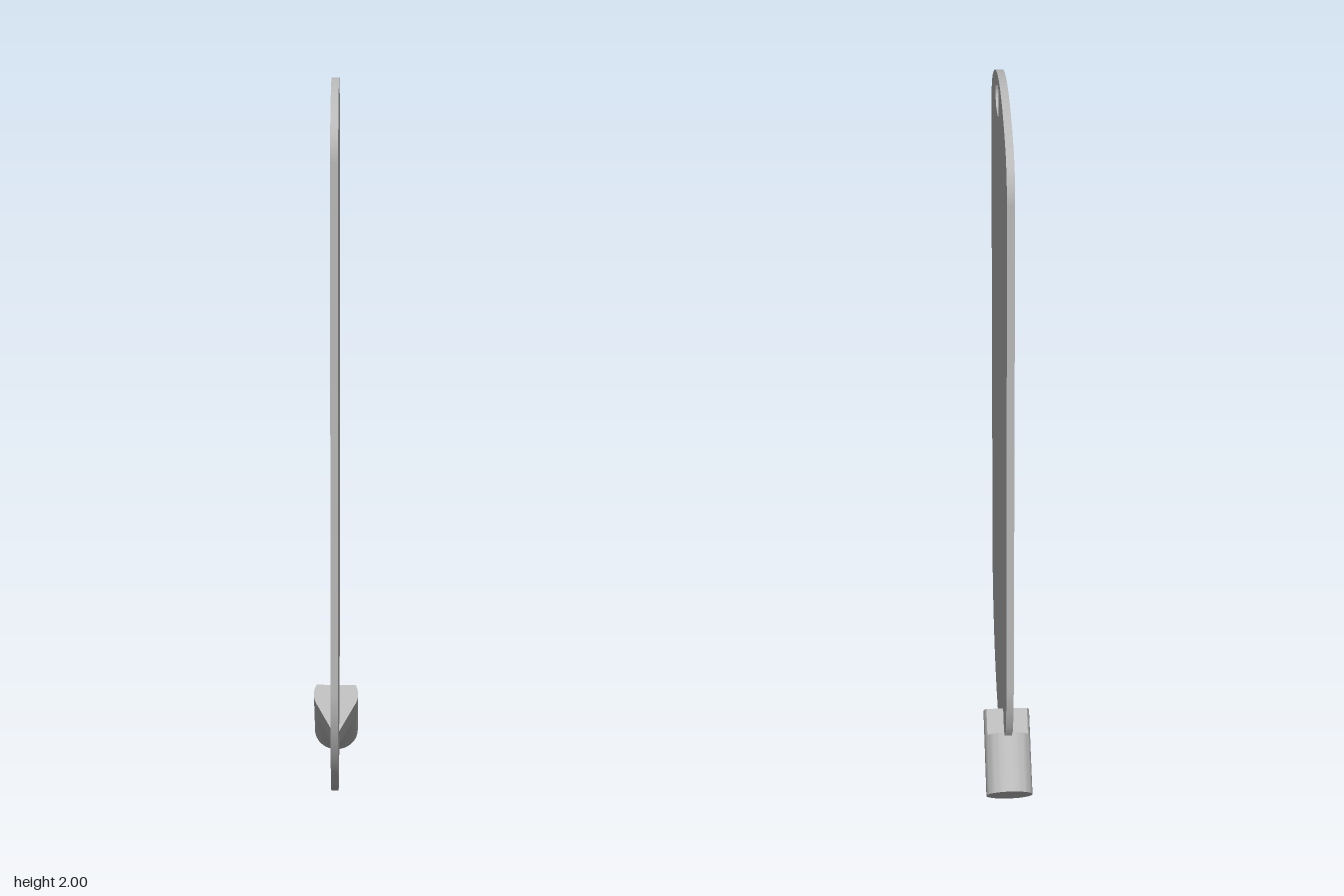
import * as THREE from 'three';
import { toCreasedNormals } from 'three/addons/utils/BufferGeometryUtils.js';

const R = 0.393;          // half width of the panel and radius of its round foot
const CU = -0.012;        // panel centre, along -z
const CY = 0.42;          // height of the foot's centre
const PORT_R = 0.065;     // spout radius

// Panel outline, drawn with -z to the right and y up
function panelShape() {
  const corner = 0.136, cornerY = 1.8, topR = 0.683, topY = 2 - topR;
  const off = R - corner;
  const a = Math.atan2(cornerY - topY, off);
  const cut = Math.asin(0.134 / R); // half angle of the flat cut at the port
  const s = new THREE.Shape();
  s.moveTo(CU + R, CY);
  s.absarc(CU + off, cornerY, corner, 0, a);
  s.absarc(CU, topY, topR, a, Math.PI - a);
  s.absarc(CU - off, cornerY, corner, Math.PI - a, Math.PI);
  s.absarc(CU, CY, R, Math.PI, Math.PI * 1.75 - cut);
  s.absarc(CU, CY, R, Math.PI * 1.75 + cut, Math.PI * 2);

  // Hanging hole: a slot with one end larger than the other
  const hole = new THREE.Path();
  hole.absarc(-0.13, 1.926, 0.035, Math.PI * 0.53, Math.PI * 1.5);
  hole.absarc(-0.052, 1.934, 0.043, -Math.PI / 2, Math.PI * 0.53);
  hole.closePath();
  s.holes.push(hole);
  return s;
}

// Boat-shaped section: a circle with tangents running to two tips
function boatShape() {
  const tip = 0.138;
  const b = Math.acos(PORT_R / tip);
  const e = Math.PI / 2 - b;
  const s = new THREE.Shape();
  s.moveTo(0, -tip);
  s.absarc(0, 0, PORT_R, -e, e);
  s.lineTo(0, tip);
  s.absarc(0, 0, PORT_R, Math.PI - e, Math.PI + e);
  s.closePath();
  return s;
}

export function createModel() {
  const group = new THREE.Group();
  const grey = new THREE.MeshStandardMaterial({ color: 0xb8b8b8 });
  grey.name = 'light grey';

  const add = (parent, name, geometry) => {
    const mesh = new THREE.Mesh(toCreasedNormals(geometry, 0.5), grey);
    mesh.name = name;
    parent.add(mesh);
  };

  // Flat panel
  const panel = new THREE.ExtrudeGeometry(panelShape(), { depth: 0.02, bevelEnabled: false, curveSegments: 32 });
  panel.translate(0, 0, -0.01).rotateY(Math.PI / 2);
  add(group, 'panel', panel);

  // Port pointing down and back; its local z runs outwards from the foot's centre
  const port = new THREE.Group();
  port.name = 'port';
  port.position.set(0, CY, -CU);
  port.rotation.x = Math.PI * 0.75;
  group.add(port);

  const boat = new THREE.ExtrudeGeometry(boatShape(), { depth: 0.084, bevelEnabled: false, curveSegments: 16 });
  add(port, 'portBase', boat.translate(0, 0, 0.286));

  const from = 0.36, to = 0.526;
  const spout = new THREE.CylinderGeometry(PORT_R, PORT_R, to - from, 48);
  add(port, 'spout', spout.rotateX(Math.PI / 2).translate(0, 0, (from + to) / 2));

  return group;
}
